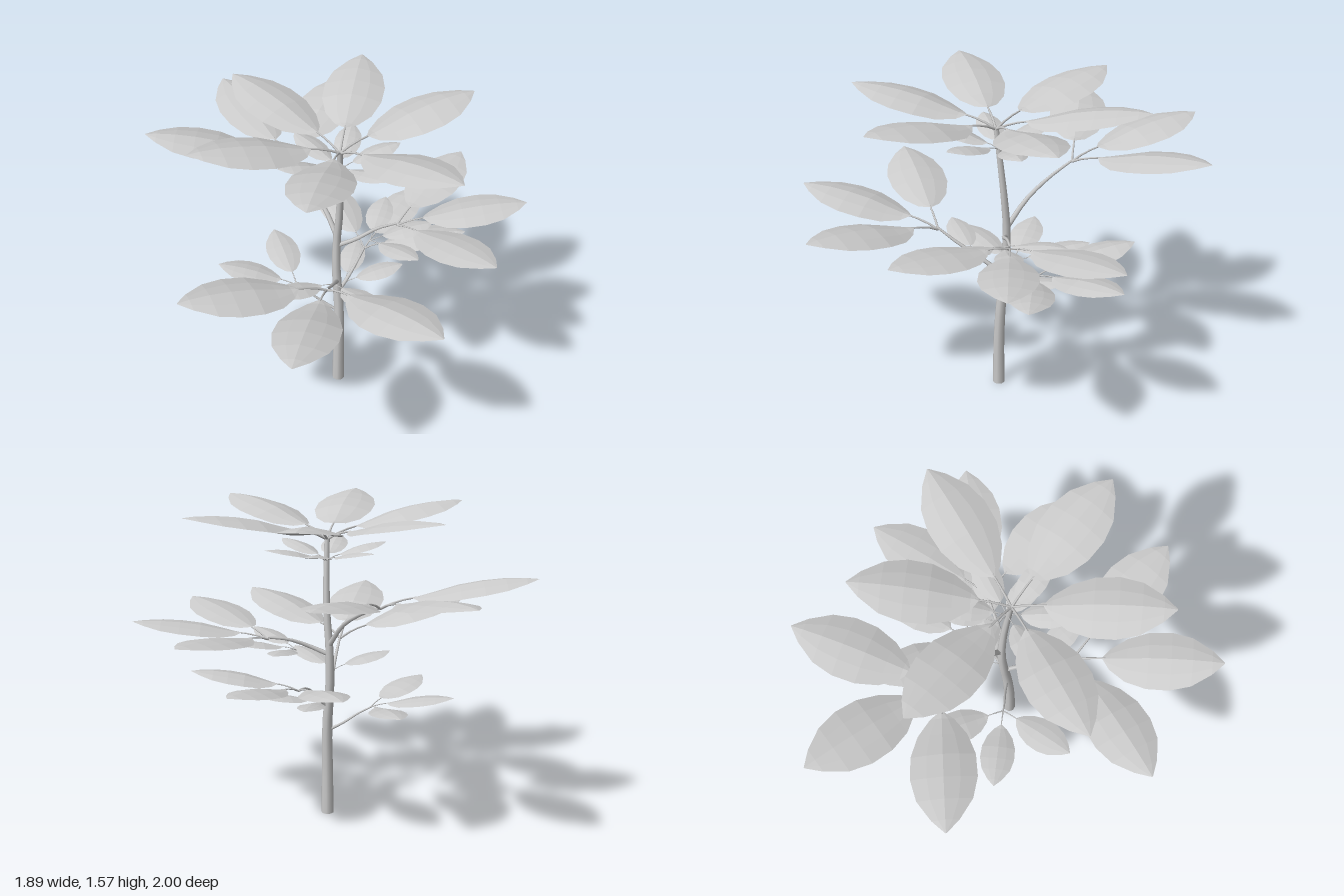
import * as THREE from 'three';

const bark = new THREE.MeshStandardMaterial({ color: 0xcccccc });
const leafMat = new THREE.MeshStandardMaterial({ color: 0xcccccc, flatShading: true, side: THREE.DoubleSide });
const V = (p) => new THREE.Vector3(...p);

// Tube along a curve whose radius runs from r0 to r1
function limb(name, points, r0, r1, segments, sides) {
  const curve = new THREE.CatmullRomCurve3(points.map(V));
  const geo = new THREE.TubeGeometry(curve, segments, 1, sides, false);
  const pos = geo.attributes.position;
  const v = new THREE.Vector3();
  for (let i = 0; i <= segments; i++) {
    const c = curve.getPointAt(i / segments);
    const r = THREE.MathUtils.lerp(r0, r1, i / segments);
    for (let j = 0; j <= sides; j++) {
      const k = i * (sides + 1) + j;
      v.fromBufferAttribute(pos, k).sub(c).multiplyScalar(r).add(c);
      pos.setXYZ(k, v.x, v.y, v.z);
    }
  }
  const mesh = new THREE.Mesh(geo, bark);
  mesh.name = name;
  return mesh;
}

// Leaf blade along +x for a whorl of radius 1: [distance, height, half width]
const stations = [
  [0.2, 0.08, 0.008], [0.25, 0.088, 0.075], [0.36, 0.12, 0.155], [0.5, 0.165, 0.202],
  [0.65, 0.195, 0.207], [0.79, 0.212, 0.172], [0.92, 0.217, 0.085], [1, 0.212, 0.004],
];

function bladeGeometry() {
  const geo = new THREE.PlaneGeometry(1, 1, 4, stations.length - 1);
  const pos = geo.attributes.position;
  stations.forEach(([x, y, w], i) => {
    for (let j = 0; j < 5; j++) {
      const s = j / 2 - 1;
      // raised midrib, drooping margins
      pos.setXYZ(i * 5 + j, x, y - w * (0.12 * Math.abs(s) + 0.12 * s * s), -s * w);
    }
  });
  // turn the faces upward
  const index = geo.index.array;
  const a = V([0, 0, 0]).fromBufferAttribute(pos, index[30]);
  const b = V([0, 0, 0]).fromBufferAttribute(pos, index[31]).sub(a);
  const c = V([0, 0, 0]).fromBufferAttribute(pos, index[32]).sub(a);
  if (b.cross(c).y < 0) {
    for (let i = 0; i < index.length; i += 3) [index[i], index[i + 1]] = [index[i + 1], index[i]];
  }
  geo.computeVertexNormals();
  return geo;
}

// Fan of stalked leaves; angles in degrees from +x towards +z
function whorl(name, blade, origin, size, angles, rise = 1) {
  const group = new THREE.Group();
  group.name = name;
  group.position.set(...origin);
  for (const angle of angles) {
    const leaf = new THREE.Group();
    leaf.name = 'leaf';
    const face = new THREE.Mesh(blade, leafMat);
    face.name = 'leafBlade';
    leaf.add(face, limb('leafStalk', [[0, 0, 0], [0.1, 0.05, 0], [0.22, 0.08, 0]], 0.009, 0.006, 3, 5));
    leaf.rotation.y = -THREE.MathUtils.degToRad(angle);
    leaf.scale.set(size, size * rise, size);
    group.add(leaf);
  }
  return group;
}

export function createModel() {
  const tree = new THREE.Group();
  tree.name = 'tree';
  const blade = bladeGeometry();

  // Trunk with a closed foot
  tree.add(limb('trunk', [
    [0.06, 0, -0.035], [0.06, 0.25, -0.035], [0.058, 0.47, -0.045], [0.04, 0.7, -0.06],
    [0.04, 0.88, -0.068], [0.054, 1.05, -0.06], [0.06, 1.25, -0.04], [0.06, 1.42, -0.02],
  ], 0.032, 0.013, 14, 8));
  const foot = new THREE.Mesh(new THREE.CircleGeometry(0.032, 8), bark);
  foot.name = 'trunkFoot';
  foot.rotation.x = Math.PI / 2;
  foot.position.set(0.06, 0, -0.035);
  tree.add(foot);

  // Branches
  const branches = [
    ['frontBranch', [[0.045, 0.63, -0.06], [0.055, 0.72, 0.07], [0.06, 0.79, 0.19], [0.06, 0.85, 0.28]], 0.013],
    ['backBranch', [[0.04, 0.9, -0.07], [-0.04, 1.02, -0.14], [-0.14, 1.1, -0.22], [-0.25, 1.16, -0.31]], 0.014],
    ['leftBranch', [[0.04, 0.85, -0.065], [0.13, 0.89, -0.08], [0.23, 0.935, -0.13], [0.32, 0.95, -0.17]], 0.012],
    ['lowerLeftBranch', [[0.05, 0.57, -0.05], [0.09, 0.63, -0.09], [0.13, 0.7, -0.16], [0.15, 0.72, -0.25]], 0.011],
    ['lowRightBranch', [[0.055, 0.45, -0.045], [-0.03, 0.5, -0.045], [-0.1, 0.55, -0.04], [-0.17, 0.59, -0.04]], 0.008],
  ];
  for (const [name, points, r] of branches) tree.add(limb(name, points, r, r * 0.45, 8, 6));

  // Leaves: name, origin, radius, angles, rise
  const fans = [
    ['crownLeaves', [0.06, 1.41, -0.02], 0.715, [90, 33, 147, -92, -38, -148], 1],
    ['innerCrownLeaves', [0.06, 1.31, -0.04], 0.31, [90, 33, 147, -90, -35, -147], 1.1],
    ['frontBranchLeaves', [0.06, 0.84, 0.28], 0.72, [90, 35, 145], 1],
    ['frontBranchSmallLeaves', [0.055, 0.725, 0.09], 0.33, [40, 140], 0.8],
    ['backBranchLeaves', [-0.25, 1.155, -0.31], 0.71, [-77, -133, 170], 0.95],
    ['leftBranchLeaves', [0.32, 0.94, -0.17], 0.64, [-67, -16, 37], 0.75],
    ['leftBranchSmallLeaves', [0.2, 0.875, -0.1], 0.32, [35, -25, -85], 0.85],
    ['lowerLeftBranchLeaves', [0.15, 0.715, -0.25], 0.51, [-12, -66, -126], 0.95],
    ['lowerLeftBranchSmallLeaves', [0.08, 0.61, -0.08], 0.31, [-28, -88], 0.8],
    ['lowRightBranchLeaves', [-0.16, 0.585, -0.04], 0.41, [-180, 120, -120], 0.85],
  ];
  for (const [name, origin, size, angles, rise] of fans) tree.add(whorl(name, blade, origin, size, angles, rise));

  return tree;
}
